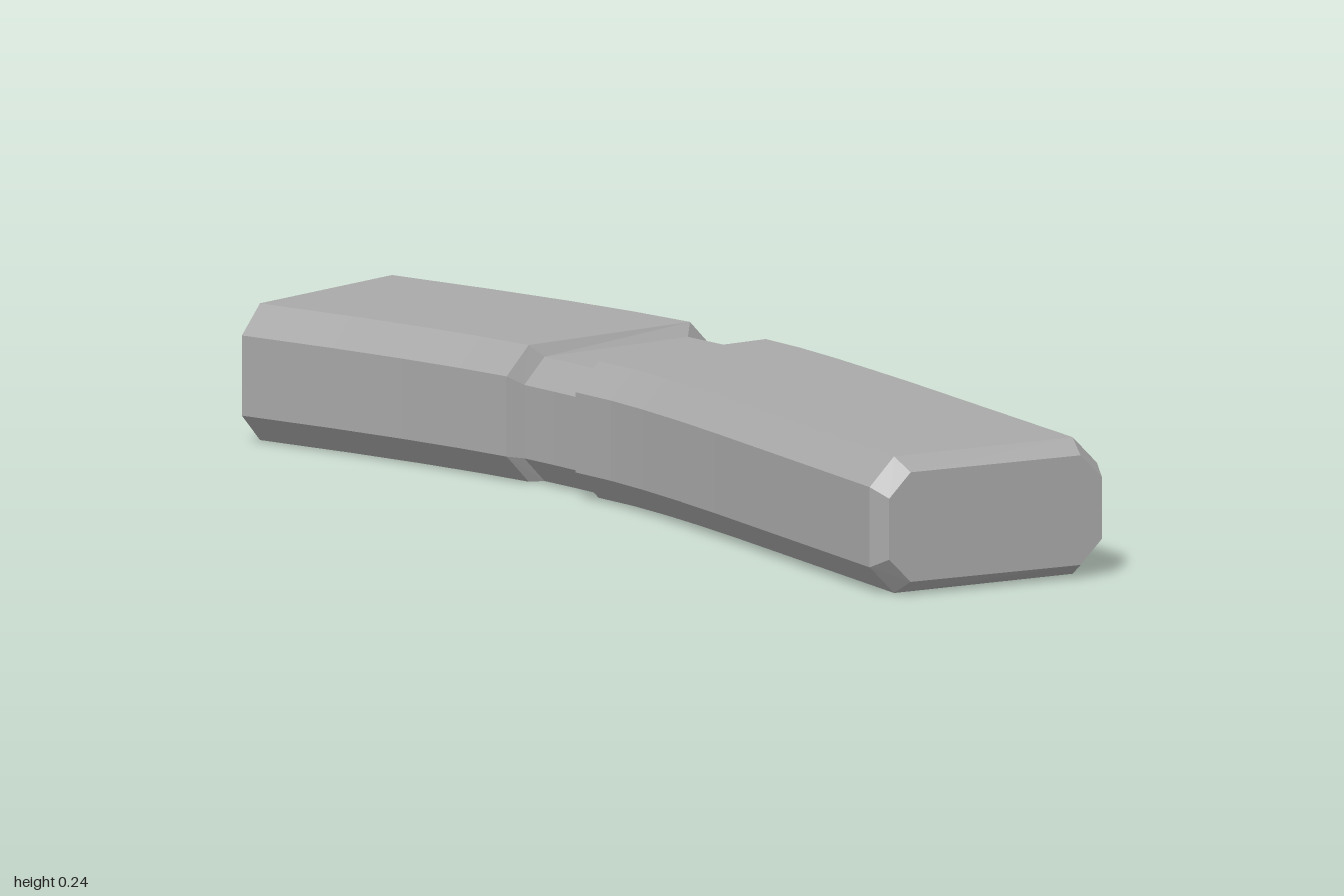
import * as THREE from 'three';

const H = 0.242;

// Chamfered octagonal section spanning from (lx, lz) to (rx, rz).
function ring([lx, lz, rx, rz, c = 0.05, y0 = 0, y1 = H]) {
  const t = c / Math.hypot(rx - lx, rz - lz);
  const at = (u, y) => new THREE.Vector3(lx + (rx - lx) * u, y, lz + (rz - lz) * u);
  return [
    at(t, y0), at(1 - t, y0), at(1, y0 + c), at(1, y1 - c),
    at(1 - t, y1), at(t, y1), at(0, y1 - c), at(0, y0 + c),
  ];
}

// Skin a list of sections ordered from back to front, optionally capping the ends.
function loft(sections, capBack, capFront) {
  const rings = sections.map(ring);
  const pos = [];
  const tri = (...pts) => pts.forEach((p) => pos.push(p.x, p.y, p.z));
  for (let i = 0; i < rings.length - 1; i++) {
    const a = rings[i], b = rings[i + 1];
    for (let j = 0; j < 8; j++) {
      const k = (j + 1) % 8;
      tri(a[j], a[k], b[k]);
      tri(a[j], b[k], b[j]);
    }
  }
  const first = rings[0], last = rings[rings.length - 1];
  for (let j = 1; j < 7; j++) {
    if (capBack) tri(first[0], first[j + 1], first[j]);
    if (capFront) tri(last[0], last[j], last[j + 1]);
  }
  const g = new THREE.BufferGeometry();
  g.setAttribute('position', new THREE.Float32BufferAttribute(pos, 3));
  g.computeVertexNormals();
  return g;
}

export function createModel() {
  const group = new THREE.Group();
  const grey = new THREE.MeshStandardMaterial({ color: 0xa8a8a8, flatShading: true });
  grey.name = 'grey';
  const add = (name, geometry) => {
    const m = new THREE.Mesh(geometry, grey);
    m.name = name;
    group.add(m);
  };

  const neckBack = [0.01, -0.366, 0.41, -0.278, 0.045, 0, 0.22];
  const neckFront = [-0.033, -0.197, 0.368, -0.097, 0.045, 0, 0.22];

  // Rear sleeve: recess floor, recess wall, rim, then the outer skin to the step
  add('rearSleeve', loft([
    [0.04, -0.945, 0.445, -0.945, 0.038, 0.03, H - 0.03],
    [0.04, -1, 0.445, -1, 0.038, 0.03, H - 0.03],
    [0.01, -1, 0.475, -1],
    [0.011, -0.8, 0.475, -0.77],
    [0.006, -0.64, 0.469, -0.59],
    [-0.004, -0.5, 0.456, -0.43],
    [-0.018, -0.383, 0.437, -0.291],
    neckBack,
  ], true, false));

  // Recessed neck, flush on the underside
  add('neck', loft([neckBack, [-0.01, -0.282, 0.39, -0.188, 0.045, 0, 0.22], neckFront], false, false));

  // Main body: bevelled collar, curved run and bevelled front end
  add('mainBody', loft([
    neckFront,
    [-0.047, -0.205, 0.378, -0.098, 0.05, 0, 0.23],
    [-0.065, -0.19, 0.386, -0.078],
    [-0.091, -0.09, 0.358, 0.02],
    [-0.126, 0.01, 0.316, 0.135],
    [-0.172, 0.125, 0.267, 0.255],
    [-0.23, 0.258, 0.212, 0.387],
    [-0.48, 0.807, -0.04, 0.96],
    [-0.474, 0.846, -0.075, 1, 0.043, 0.024, H - 0.024],
  ], false, true));

  return group;
}
